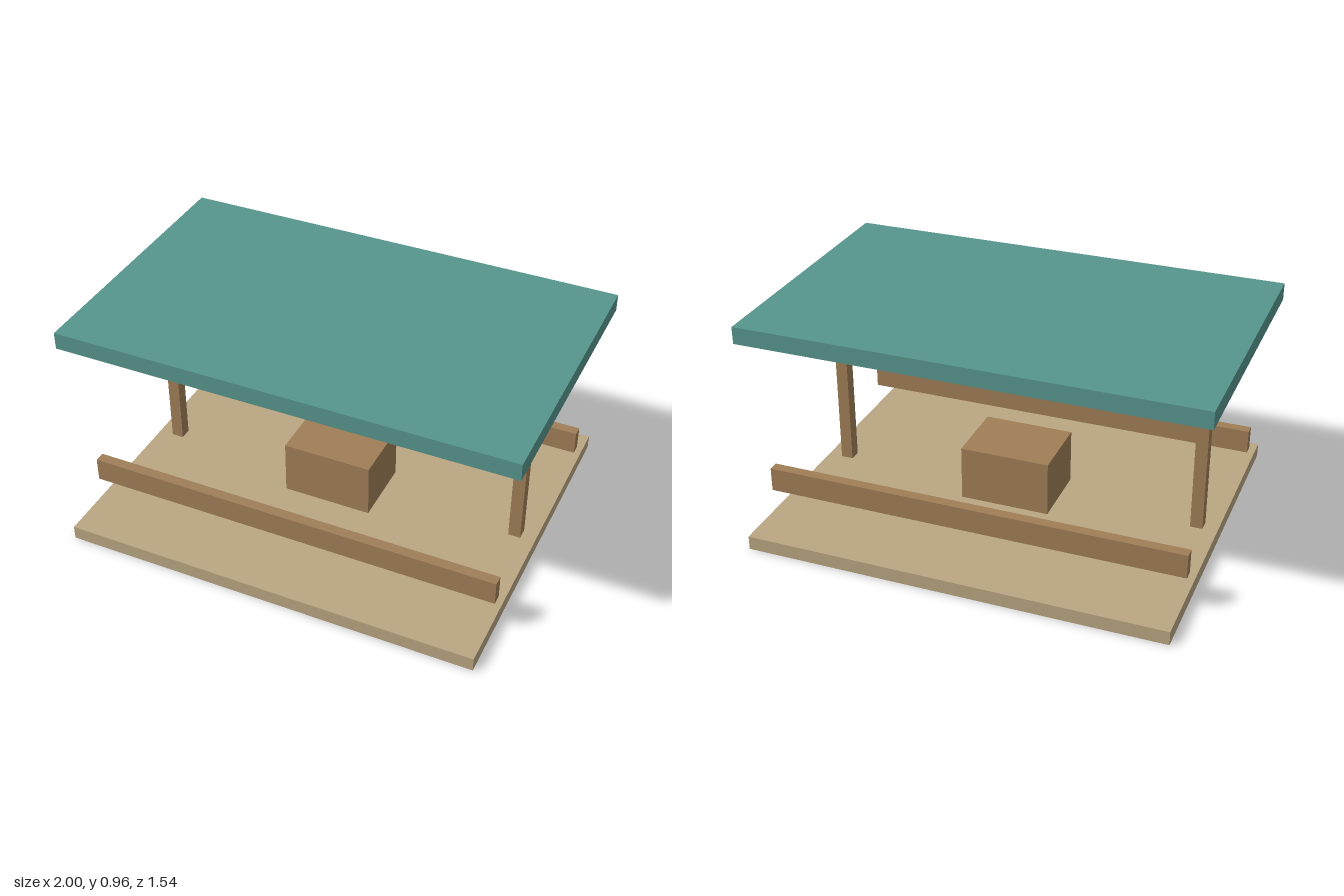
import * as THREE from 'three';

const roofPaint = new THREE.MeshStandardMaterial({ color: 0x57968d });
const darkWood = new THREE.MeshStandardMaterial({ color: 0xa07e57 });
const paleWood = new THREE.MeshStandardMaterial({ color: 0xbaa682 });

export function createModel() {
  const model = new THREE.Group();
  model.name = 'shelter';

  // Box of width w and depth d, standing between heights y0 and y1
  function addBox(name, material, w, d, y0, y1, x = 0, z = 0) {
    const mesh = new THREE.Mesh(new THREE.BoxGeometry(w, y1 - y0, d), material);
    mesh.name = name;
    mesh.position.set(x, (y0 + y1) / 2, z);
    model.add(mesh);
  }

  // Floor, flat roof and the block in the middle
  addBox('floor', paleWood, 1.846, 1.538, 0, 0.062);
  addBox('roof', roofPaint, 2, 1.23, 0.886, 0.962);
  addBox('centreBlock', darkWood, 0.4, 0.308, 0.062, 0.308);

  // Posts run down through the floor; rails run along the front and back
  for (const side of [1, -1]) {
    addBox(side > 0 ? 'leftPost' : 'rightPost', darkWood, 0.054, 0.054, 0, 0.886, side * 0.831);
    addBox(side > 0 ? 'frontRail' : 'backRail', darkWood, 1.846, 0.046, 0.165, 0.272, 0, side * 0.523);
  }

  return model;
}
